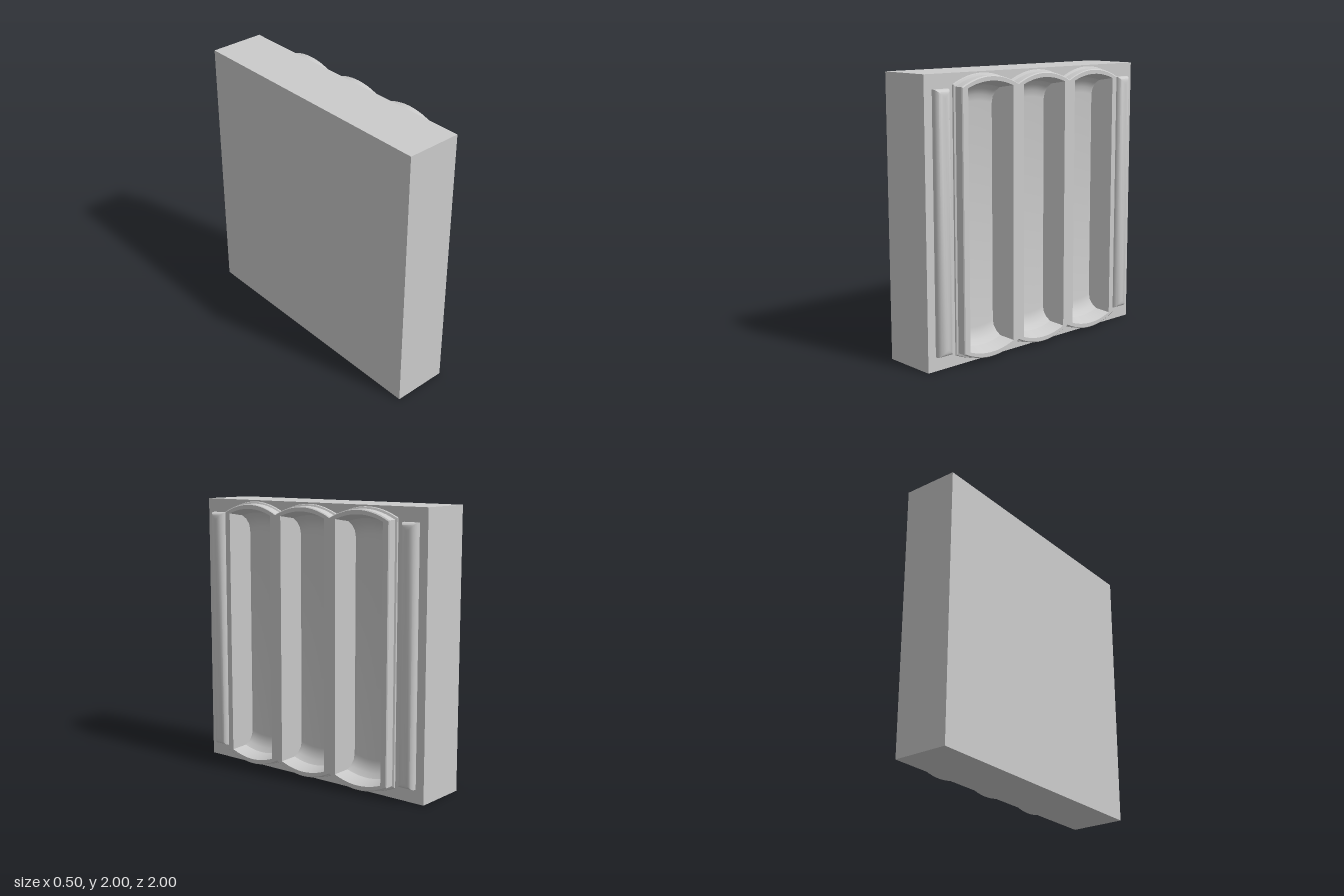
import * as THREE from 'three';
import { toCreasedNormals } from 'three/addons/utils/BufferGeometryUtils.js';

// Local frame: u right, v up (centred), w outward; the whole relief is turned to face +x.
const BACK = -0.25, FACE = 0.16, TOP = 0.245, FLOOR = 0.08;
const material = new THREE.MeshStandardMaterial({ color: 0xcccccc });

// Surface through rows of [u, v, w] points
function loft(rows, crease) {
  const n = rows[0].length, index = [];
  for (let i = 0; i < rows.length - 1; i++) {
    for (let j = 0; j < n - 1; j++) {
      const a = i * n + j, b = a + n;
      index.push(a, a + 1, b + 1, a, b + 1, b);
    }
  }
  const geometry = new THREE.BufferGeometry();
  geometry.setAttribute('position', new THREE.Float32BufferAttribute(rows.flat(2), 3));
  geometry.setIndex(index);
  return toCreasedNormals(geometry, crease);
}

// Flat face with holes at height w
function plate(outline, holes, w) {
  const toVec = ([u, v]) => new THREE.Vector2(u, v);
  const shape = new THREE.Shape(outline.map(toVec));
  shape.holes = holes.map((h) => new THREE.Path(h.map(toVec)));
  return new THREE.ShapeGeometry(shape).translate(0, 0, w);
}

// Scalloped outline of the panel, counterclockwise
function scallops(offset) {
  const pts = [], steps = 16, k = (0.75 + offset) / 0.75;
  for (const side of [-1, 1]) {
    for (let i = 0; i <= 3 * steps; i++) {
      const t = ((i % steps) / steps) * 2 - 1;
      const v = 0.91 + offset + 0.065 * (1 - t * t);
      const u = (-0.75 + (0.5 * i) / steps) * k;
      pts.push([-side * u, side * v]);
    }
  }
  return pts;
}

// Bowed end of a flute
const bulge = (u) => 0.04 * (1 - (u / 0.2) ** 2);

// Opening of a flute centred on u = c
function fluteRim(c) {
  const pts = [];
  for (const side of [-1, 1]) {
    for (let i = 0; i <= 16; i++) {
      const u = -0.2 + 0.025 * i;
      pts.push([c - side * u, side * (0.9 + bulge(u))]);
    }
  }
  return pts;
}

// Hollow flute: sloped side walls, steep lip and coved floor at both ends
function fluteGeometry(c) {
  const cove = [[0, TOP], [0.03, 0.14], [0.06, 0.11], [0.1, 0.088], [0.145, FLOOR]];
  const row = (side, [d, w]) => {
    const half = 0.15 + (0.05 * (w - FLOOR)) / (TOP - FLOOR);
    const pts = [[c - 0.2, side * (0.9 - d), TOP]];
    for (let i = 0; i <= 16; i++) {
      const u = half * (i / 8 - 1);
      pts.push([c + u, side * (0.9 - d + bulge(u)), w]);
    }
    pts.push([c + 0.2, side * (0.9 - d), TOP]);
    return pts;
  };
  const bottom = cove.map((p) => row(-1, p));
  const top = cove.map((p) => row(1, p)).reverse();
  return loft([...bottom, ...top], 0.45);
}

// Rounded bar with mitred ends, from nested rectangles
function barGeometry(c) {
  const profile = [[0, FACE], [0, 0.185], [0.006, 0.2], [0.016, 0.212], [0.03, 0.219], [0.045, 0.222], [0.06, 0.223]];
  return loft(profile.map(([inset, w]) => {
    const a = 0.06 - inset, b = 0.9 - inset;
    return [[c - a, -b, w], [c + a, -b, w], [c + a, b, w], [c - a, b, w], [c - a, -b, w]];
  }), 0.7);
}

export function createModel() {
  const model = new THREE.Group();
  model.name = 'flutedPanel';
  const relief = new THREE.Group();
  relief.name = 'relief';
  relief.rotation.y = Math.PI / 2;
  relief.position.y = 1;
  model.add(relief);
  const add = (name, geometry) => {
    const mesh = new THREE.Mesh(geometry, material);
    mesh.name = name;
    relief.add(mesh);
  };

  // Block: a box without its relief side, closed by a face open behind the panel
  const block = new THREE.BoxGeometry(2, 2, FACE - BACK).translate(0, 0, (FACE + BACK) / 2);
  const sides = Array.from(block.index.array);
  sides.splice(24, 6);
  block.setIndex(sides);
  block.clearGroups();
  add('block', block);
  add('blockFace', plate([[-1, -1], [1, -1], [1, 1], [-1, 1]], [scallops(0.015)], FACE));

  // Panel edge with a small lip at its foot and an eased front edge
  const edge = [[0.015, FACE], [0.012, 0.17], [0, 0.176], [0, 0.238], [-0.006, TOP]];
  add('panelEdge', loft(edge.map(([offset, w]) => {
    const pts = scallops(offset).map(([u, v]) => [u, v, w]);
    return [...pts, pts[0]];
  }), 0.4));

  // Panel face and its three flutes
  const centres = [-0.5, 0, 0.5];
  add('panelFace', plate(scallops(-0.006), centres.map(fluteRim), TOP));
  for (const c of centres) add('flute', fluteGeometry(c));

  // Bars beside the panel
  for (const c of [-0.875, 0.875]) add('sideBar', barGeometry(c));

  return model;
}
